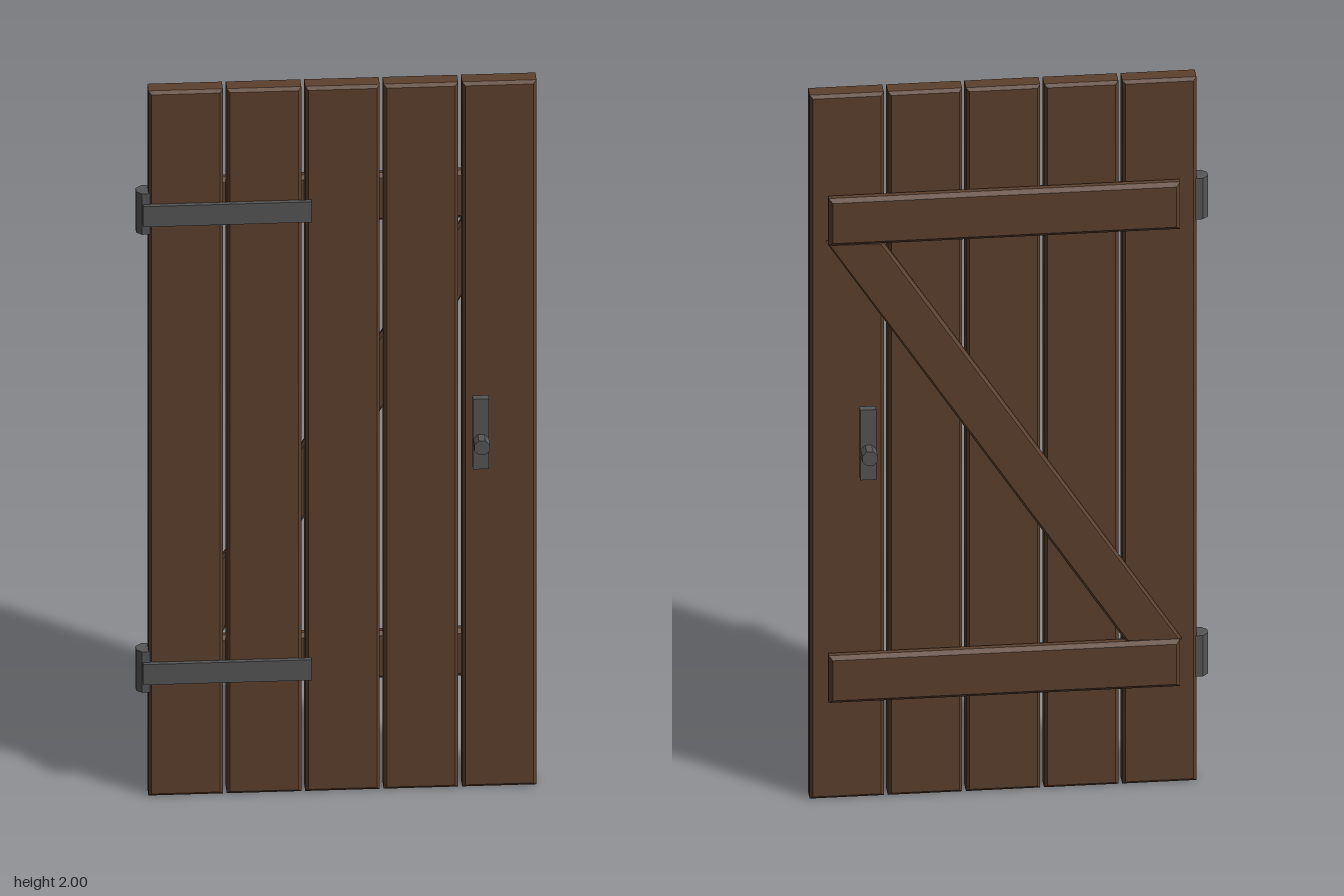
import * as THREE from 'three';

const wood = new THREE.MeshStandardMaterial({ color: 0x5c402d });
wood.name = 'brown wood';
const iron = new THREE.MeshStandardMaterial({ color: 0x555555 });
iron.name = 'dark iron';

// Board with chamfered edges: outline points in x/y, spanning z0..z1
function board(name, points, z0, z1, bevel) {
  const shape = new THREE.Shape(points.map(([x, y]) => new THREE.Vector2(x, y)));
  const geometry = new THREE.ExtrudeGeometry(shape, {
    depth: z1 - z0 - 2 * bevel,
    bevelEnabled: true,
    bevelThickness: bevel,
    bevelSize: bevel,
    bevelOffset: -bevel,
    bevelSegments: 1,
  });
  geometry.translate(0, 0, z0 + bevel);
  const mesh = new THREE.Mesh(geometry, wood);
  mesh.name = name;
  return mesh;
}

const rect = (x0, x1, y0, y1) => [[x0, y0], [x1, y0], [x1, y1], [x0, y1]];

function ironBox(name, x0, x1, y0, y1, z0, z1) {
  const mesh = new THREE.Mesh(new THREE.BoxGeometry(x1 - x0, y1 - y0, z1 - z0), iron);
  mesh.position.set((x0 + x1) / 2, (y0 + y1) / 2, (z0 + z1) / 2);
  mesh.name = name;
  return mesh;
}

export function createModel() {
  const door = new THREE.Group();
  door.name = 'plankDoor';
  const middle = 0.013;

  // Five upright planks with narrow gaps
  for (let i = -2; i <= 2; i++) {
    const x = middle + i * 0.2;
    door.add(board('plank', rect(x - 0.095, x + 0.095, 0, 2), -0.03, 0.027, 0.008));
  }

  // Two ledges across the back
  for (const y of [0.353, 1.653]) {
    door.add(board('ledge', rect(middle - 0.45, middle + 0.45, y - 0.067, y + 0.067), -0.065, -0.03, 0.01));
  }

  // Diagonal brace between the ledges
  const reach = 0.384, half = 0.071;
  door.add(board('brace', [
    [middle - reach - half, 0.415],
    [middle - reach + half, 0.415],
    [middle + reach + half, 1.591],
    [middle + reach - half, 1.591],
  ], -0.055, -0.029, 0.007));

  // Strap hinges on the front, each with an upright knuckle
  for (const y of [0.353, 1.653]) {
    const hinge = new THREE.Group();
    hinge.name = 'hinge';
    hinge.add(ironBox('hingeStrap', -0.497, -0.067, y - 0.029, y + 0.029, 0.027, 0.04));
    const geometry = new THREE.CylinderGeometry(0.027, 0.027, 0.116, 8).toNonIndexed();
    geometry.rotateY(Math.PI / 8);
    geometry.computeVertexNormals();
    const knuckle = new THREE.Mesh(geometry, iron);
    knuckle.name = 'hingeKnuckle';
    knuckle.position.set(-0.488, y, 0);
    hinge.add(knuckle);
    door.add(hinge);
  }

  // Handle plate and knob on both faces
  for (const side of [1, -1]) {
    const handle = new THREE.Group();
    handle.name = side > 0 ? 'frontHandle' : 'backHandle';
    const z = side > 0 ? 0.059 : -0.063;
    handle.add(ironBox('handlePlate', 0.343, 0.384, 0.924, 1.123, z - 0.011, z + 0.011));
    const geometry = new THREE.CylinderGeometry(0.0215, 0.0215, 0.044, 8).toNonIndexed();
    geometry.rotateY(Math.PI / 8);
    geometry.rotateX(Math.PI / 2);
    geometry.computeVertexNormals();
    const knob = new THREE.Mesh(geometry, iron);
    knob.name = 'handleKnob';
    knob.position.set(0.3635, 1.003, z + side * 0.028);
    handle.add(knob);
    door.add(handle);
  }

  return door;
}
